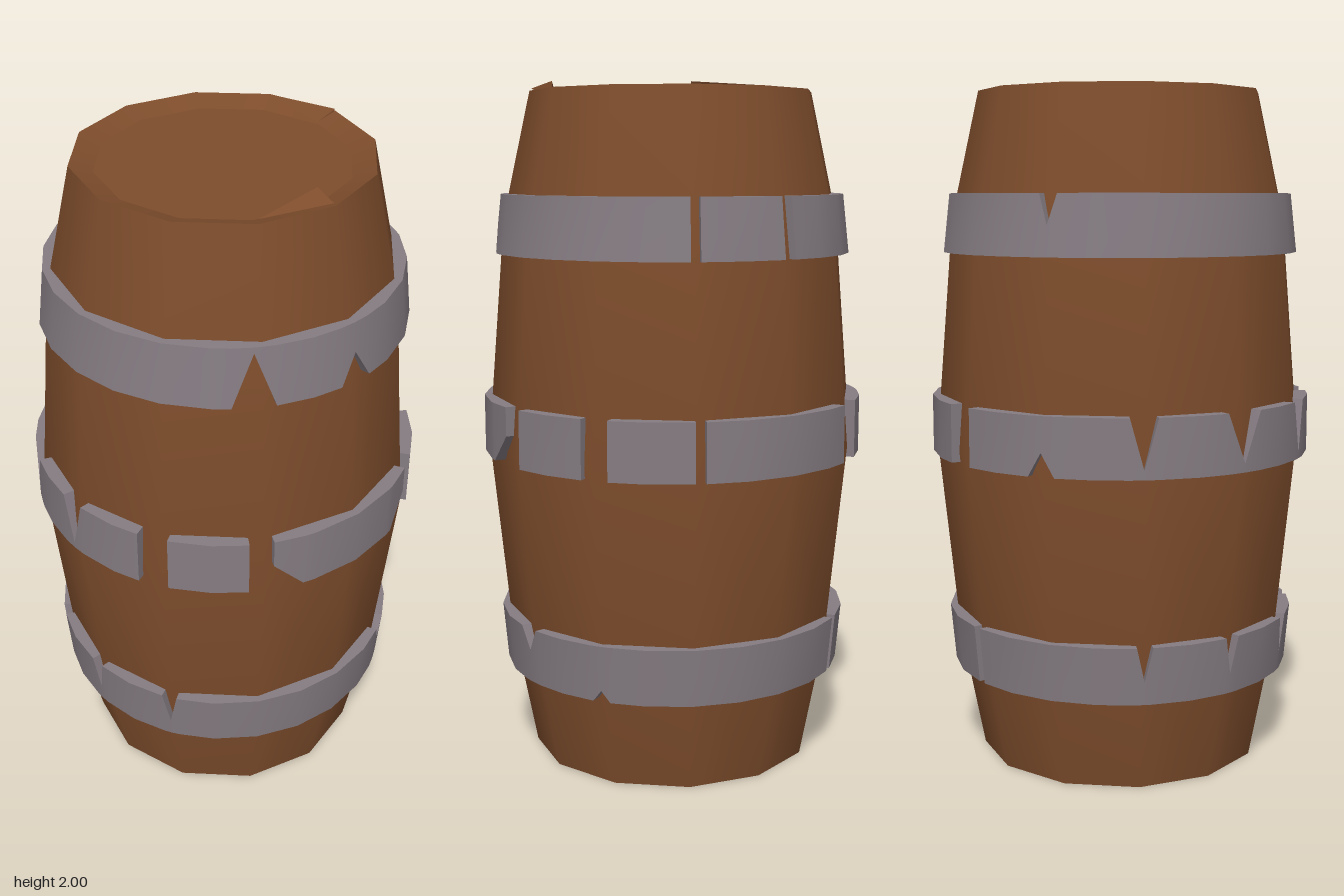
import * as THREE from 'three';
import { toCreasedNormals } from 'three/addons/utils/BufferGeometryUtils.js';

const SIDES = 12;

// Tears in a hoop, as columns of [degrees, bottom, top], heights 0..1 of the hoop
const fromBelow = (a, w, h) => [[a - w, 0, 1], [a, h, 1], [a + w, 0, 1]];
const fromAbove = (a, w, h) => [[a - w, 0, 1], [a, 0, 1 - h], [a + w, 0, 1]];
// Full break, with the lower corner cut off by sl degrees on one side and sr on the other
const broken = (a, w, sl = 0, sr = 0) => [
  [a - w - sl, 0, 1], [a - w, sl ? 0.5 : 0, 1], [a - w, 1, 1],
  [a + w, 1, 1], [a + w, sr ? 0.5 : 0, 1], [a + w + sr, 0, 1],
];

// Metal band swept around the barrel as a four-point section
function hoopGeometry(y0, y1, r0, r1, tears) {
  const columns = [];
  for (let d = -15; d <= 345; d += 15) {
    const torn = tears.some(t => d >= t[0][0] && d <= t[t.length - 1][0]);
    if (!torn) columns.push([d, 0, 1]);
  }
  columns.push(...tears.flat());
  columns.sort((p, q) => p[0] - q[0]);

  const section = ([deg, b, t]) => {
    const a = THREE.MathUtils.degToRad(deg);
    const point = (h, inset) => {
      const r = THREE.MathUtils.lerp(r0, r1, h) - inset;
      return [r * Math.sin(a), THREE.MathUtils.lerp(y0, y1, h), r * Math.cos(a)];
    };
    return [point(b, 0), point(t, 0), point(t, 0.06), point(b, 0.06)];
  };

  const pos = [];
  for (let i = 0; i + 1 < columns.length; i++) {
    const [p, q] = [columns[i], columns[i + 1]];
    if (p[1] === p[2] && q[1] === q[2]) continue; // open gap
    const A = section(p), B = section(q);
    for (let k = 0; k < 4; k++) {
      const n = (k + 1) % 4;
      pos.push(...A[k], ...B[k], ...B[n], ...A[k], ...B[n], ...A[n]);
    }
  }
  const g = new THREE.BufferGeometry();
  g.setAttribute('position', new THREE.Float32BufferAttribute(pos, 3));
  return toCreasedNormals(g, 0.6);
}

const lathe = points =>
  new THREE.LatheGeometry(points.map(p => new THREE.Vector2(...p)), SIDES);

export function createModel() {
  const wood = new THREE.MeshStandardMaterial({ color: 0x7e4d2c, side: THREE.DoubleSide });
  wood.name = 'brown wood';
  const metal = new THREE.MeshStandardMaterial({ color: 0x857c82, side: THREE.DoubleSide });
  metal.name = 'grey metal';

  const barrel = new THREE.Group();
  barrel.name = 'barrel';
  const add = (name, geometry, material) => {
    const mesh = new THREE.Mesh(geometry, material);
    mesh.name = name;
    barrel.add(mesh);
  };

  // Bulging wall
  add('wall', lathe([
    [0.42, 0], [0.49, 0.36], [0.55, 0.95], [0.505, 1.5], [0.48, 1.68], [0.415, 1.972],
  ]), wood);

  // Flat base, worn rim and slightly sunken lid
  add('base', lathe([[0, 0.002], [0.42, 0]]), wood);
  add('rim', lathe([[0.415, 1.972], [0.35, 1.95]]), wood);
  add('lid', lathe([[0.35, 1.95], [0, 1.95]]), wood);

  // Lifted splinters on the rim
  const splinter = points => {
    const g = new THREE.BufferGeometry();
    g.setAttribute('position', new THREE.Float32BufferAttribute(points.flat(), 3));
    g.setIndex([0, 1, 2, 0, 3, 1, 1, 3, 2, 2, 3, 0]);
    return toCreasedNormals(g, 0.1);
  };
  add('sideSplinter', splinter([
    [0.35, 2, 0], [0.33, 1.965, 0.18], [0.41, 1.978, 0], [0.35, 1.95, 0],
  ]), wood);
  add('backSplinter', splinter([
    [0, 1.978, -0.413], [-0.205, 1.972, -0.358], [-0.01, 1.95, -0.35], [0, 1.95, -0.4],
  ]), wood);

  // Three hoops with tears over the corners of the staves
  add('lowerHoop', hoopGeometry(0.275, 0.442, 0.505, 0.52, [
    fromAbove(0, 2.5, 0.65), fromAbove(30, 2.5, 0.65), fromAbove(120, 4, 0.4),
    fromBelow(150, 3, 0.2), broken(240, 1.5), fromAbove(300, 2.5, 0.6),
    fromAbove(330, 2.5, 0.65),
  ]), metal);
  add('middleHoop', hoopGeometry(0.92, 1.088, 0.562, 0.562, [
    fromAbove(-1, 4, 0.9), broken(28, 4.5), broken(59, 3.5, 0, 9),
    broken(120, 3.5, 9, 0), broken(151, 4), broken(181, 1.5),
    broken(239, 5, 0, 0), fromBelow(270, 4, 0.4), fromAbove(299, 4, 0.85),
    fromAbove(330, 6, 0.85),
  ]), metal);
  add('upperHoop', hoopGeometry(1.508, 1.678, 0.522, 0.503, [
    fromBelow(57, 6.5, 0.9), fromBelow(90, 5.5, 0.5), broken(180, 1.5),
    broken(211, 2), fromAbove(270, 3, 0.5),
  ]), metal);

  return barrel;
}
